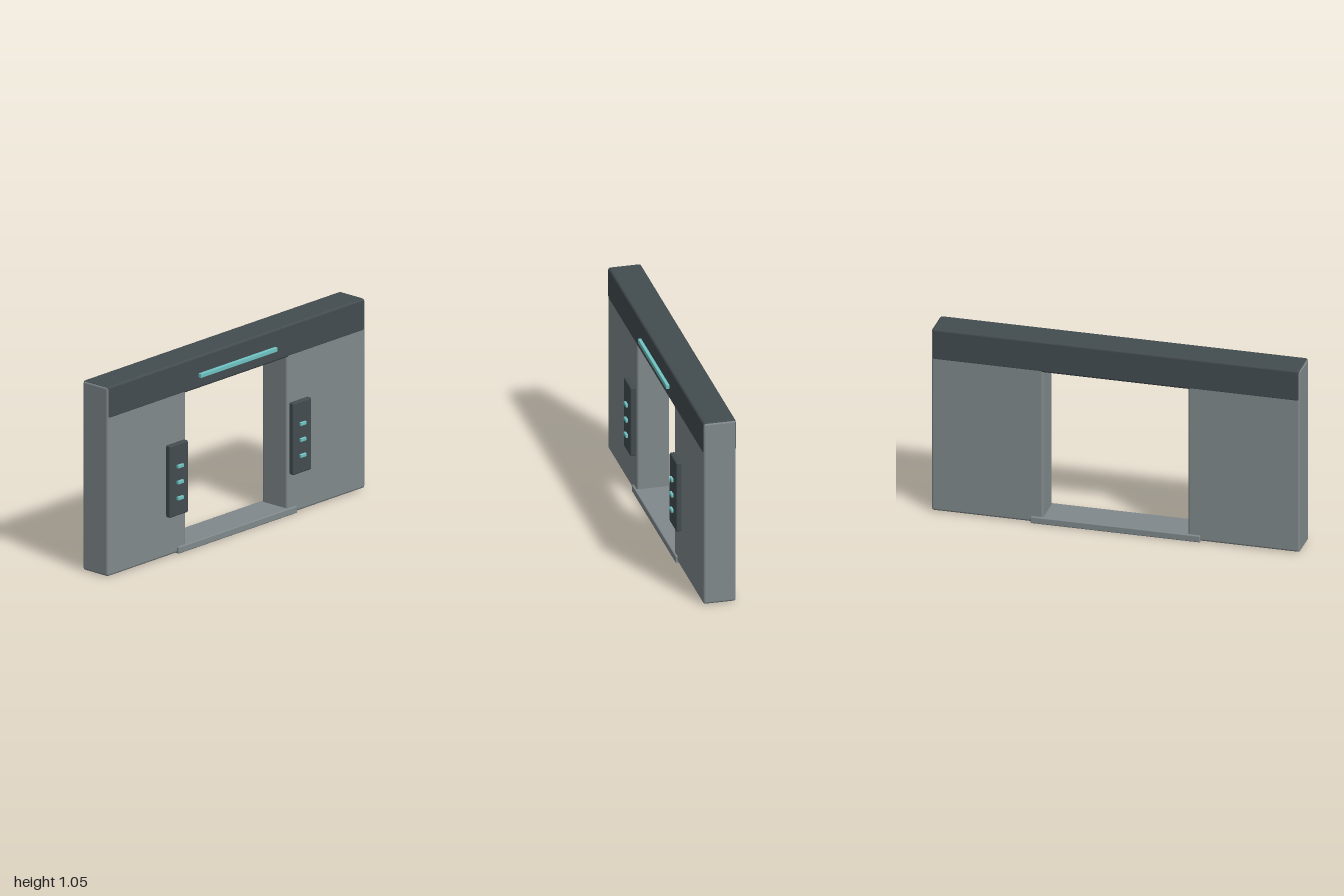
import * as THREE from 'three';
import { RoundedBoxGeometry } from 'three/addons/geometries/RoundedBoxGeometry.js';

export function createModel() {
  const model = new THREE.Group();
  model.name = 'doorwayWall';

  const material = (name, color) => {
    const m = new THREE.MeshStandardMaterial({ color });
    m.name = name;
    return m;
  };
  const wallGrey = material('wallGrey', 0x80898c);
  const darkGrey = material('darkGrey', 0x434c50);
  const teal = material('teal', 0x70c4c4);

  // Box given by its limits on each axis, with softened edges
  function block(name, mat, [x0, x1], [y0, y1], [z0, z1], radius) {
    const geometry = new RoundedBoxGeometry(x1 - x0, y1 - y0, z1 - z0, 2, radius);
    const mesh = new THREE.Mesh(geometry, mat);
    mesh.name = name;
    mesh.position.set((x0 + x1) / 2, (y0 + y1) / 2, (z0 + z1) / 2);
    model.add(mesh);
  }

  // Header across the top, a hair proud of the wall slabs
  block('header', darkGrey, [-0.998, 0.998], [0.87, 1.049], [-0.105, 0.074], 0.013);

  // Threshold plate and light strip
  block('threshold', wallGrey, [-0.46, 0.46], [0, 0.038], [-0.115, 0.084], 0.006);
  block('lightStrip', teal, [-0.297, 0.297], [0.931, 0.955], [0.074, 0.093], 0.003);

  for (const side of [1, -1]) {
    const label = side > 0 ? 'left' : 'right';
    const span = (a, b) => (side > 0 ? [a, b] : [-b, -a]);

    // Wall slab beside the opening
    block(label + 'Wall', wallGrey, span(0.392, 1), [0.004, 1.047], [-0.104, 0.073], 0.013);

    // Control panel with three indicator lights
    block(label + 'Panel', darkGrey, span(0.407, 0.55), [0.223, 0.62], [0.073, 0.104], 0.008);
    [0.32, 0.408, 0.496].forEach((y, i) => {
      block(`${label}Indicator${i + 1}`, teal, span(0.454, 0.498), [y - 0.009, y + 0.009], [0.1, 0.117], 0.002);
    });
  }

  return model;
}
